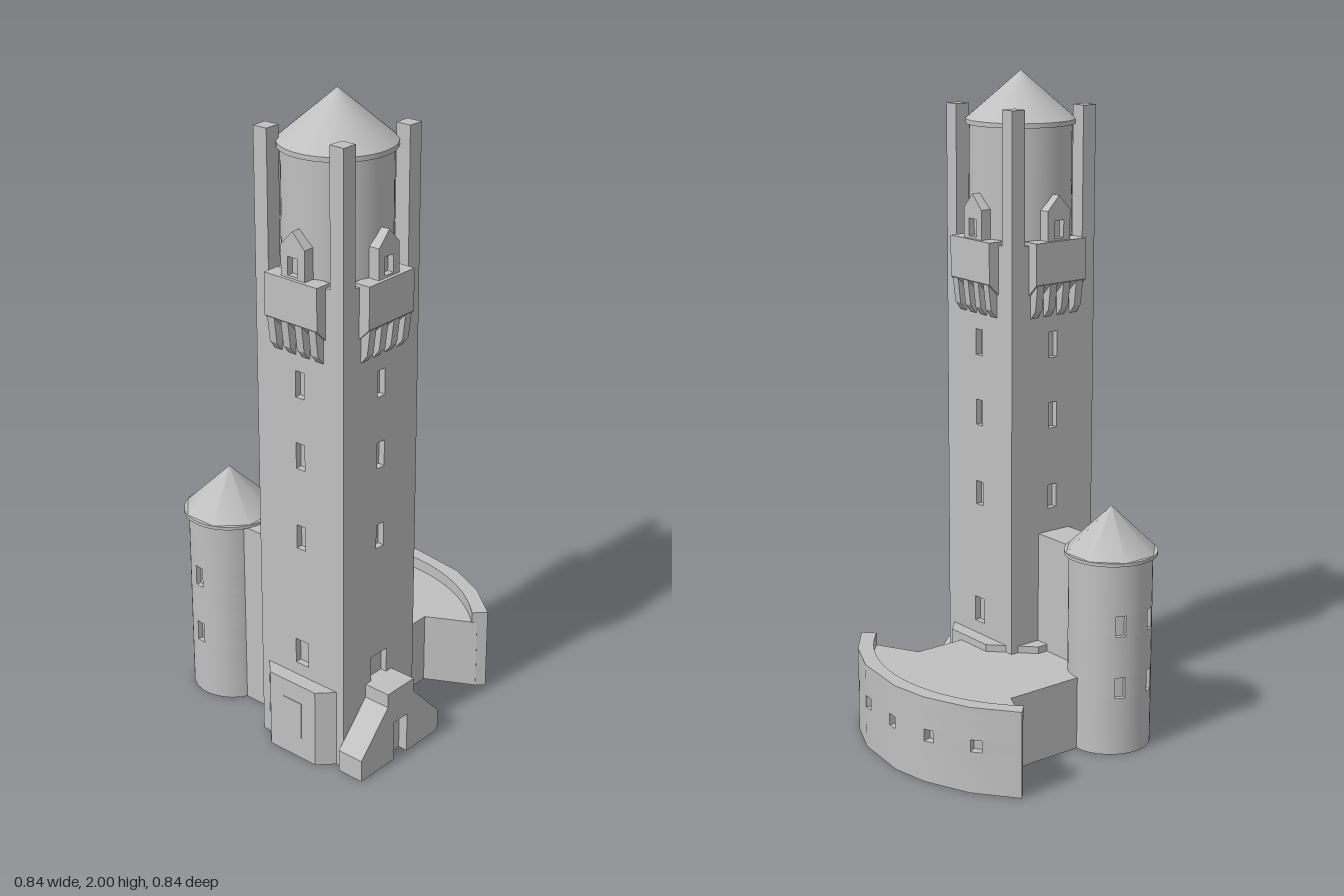
import * as THREE from 'three';
import { toCreasedNormals } from 'three/addons/utils/BufferGeometryUtils.js';

const stone = new THREE.MeshStandardMaterial({ color: 0xc0c0c0 });
stone.name = 'stone';

function add(parent, name, geometry, x = 0, y = 0, z = 0) {
  const mesh = new THREE.Mesh(geometry, stone);
  mesh.name = name;
  mesh.position.set(x, y, z);
  parent.add(mesh);
  return mesh;
}

function box(parent, name, x0, x1, y0, y1, z0, z1) {
  return add(parent, name, new THREE.BoxGeometry(x1 - x0, y1 - y0, z1 - z0),
    (x0 + x1) / 2, (y0 + y1) / 2, (z0 + z1) / 2);
}

const shapeOf = pts => new THREE.Shape(pts.map(p => new THREE.Vector2(p[0], p[1])));
const extrude = (shape, depth) => new THREE.ExtrudeGeometry(shape, { depth, bevelEnabled: false });

// Plan outline (x, -z) raised from y0 to y1
function raise(pts, y0, y1) {
  return extrude(shapeOf(pts), y1 - y0).rotateX(-Math.PI / 2).translate(0, y0, 0);
}

// Elevation panel with rectangular holes [y0, y1, width]
function panel(outline, holes, depth) {
  const shape = shapeOf(outline);
  for (const [y0, y1, w] of holes) {
    shape.holes.push(new THREE.Path([[-w / 2, y0], [-w / 2, y1], [w / 2, y1], [w / 2, y0]]
      .map(p => new THREE.Vector2(...p))));
  }
  return extrude(shape, depth);
}

const rect = (w, y0, y1) => [[-w / 2, y0], [w / 2, y0], [w / 2, y1], [-w / 2, y1]];
const polar = (deg, r) => [r * Math.cos(deg * Math.PI / 180), r * Math.sin(deg * Math.PI / 180)];

// Point on a faceted wall whose corners lie at the given angles
function facet(corners, R, a) {
  let i = 0;
  while (i < corners.length - 2 && a > corners[i + 1]) i++;
  const rad = Math.PI / 180, mid = (corners[i] + corners[i + 1]) / 2;
  return polar(a, R * Math.cos((corners[i + 1] - corners[i]) / 2 * rad) / Math.cos((a - mid) * rad));
}

// Curved wall piece between two angles
function arcWall(parent, name, corners, R, r0, a0, a1, y0, y1) {
  const angles = [a0, ...corners.filter(a => a > a0 + 0.01 && a < a1 - 0.01), a1];
  const pts = angles.map(a => facet(corners, R, a));
  const n = 32;
  for (let i = n; i >= 0; i--) pts.push(polar(a0 + (a1 - a0) * i / n, r0));
  return add(parent, name, toCreasedNormals(raise(pts, y0, y1), 0.5));
}

// Curved wall with rows of recessed windows
function windowedWall(parent, name, corners, R, r0, windows, halfAngle, rows, top) {
  const start = corners[0], end = corners[corners.length - 1];
  let y = 0;
  for (const [y0, y1] of rows) {
    arcWall(parent, name, corners, R, r0, start, end, y, y0);
    let a = start;
    for (const w of windows) {
      arcWall(parent, name, corners, R, r0, a, w - halfAngle, y0, y1);
      a = w + halfAngle;
    }
    arcWall(parent, name, corners, R, r0, a, end, y0, y1);
    y = y1;
  }
  arcWall(parent, name, corners, R, r0, start, end, y, top);
}

// One face of the tower, facing +z around the tower's axis
function towerSide(k) {
  const side = new THREE.Group();
  side.name = 'towerSide';
  const low = k === 0 ? [0.24, 0.32, 0.07] : [0.29, 0.37, 0.048];
  const holes = [[0.675, 0.75, 0.032], [0.93, 1.01, 0.032], [1.15, 1.23, 0.032]];
  if (k !== 2) holes.push(low);
  add(side, 'wall', panel(rect(0.318, 0, 1.5), holes, 0.02), 0, 0, 0.139);

  // Balcony with sloping underside and four brackets
  const sideProfile = (pts, w) => extrude(shapeOf(pts), w).rotateY(-Math.PI / 2).translate(w / 2, 0, 0);
  add(side, 'balcony', sideProfile([[0.14, 1.35], [0.159, 1.35], [0.194, 1.385], [0.194, 1.51], [0.14, 1.51]], 0.19));
  for (let i = 0; i < 4; i++) {
    add(side, 'bracket', sideProfile([[0.15, 1.28], [0.162, 1.28], [0.182, 1.305], [0.192, 1.385], [0.15, 1.385]], 0.026),
      -0.075 + i * 0.05);
  }

  // Gabled dormer
  const gable = [[-0.043, 1.5], [0.043, 1.5], [0.043, 1.6], [0, 1.645], [-0.043, 1.6]];
  add(side, 'dormerFront', panel(gable, [[1.517, 1.57, 0.036]], 0.02), 0, 0, 0.163);
  add(side, 'dormer', extrude(shapeOf(gable), 0.063), 0, 0, 0.1);

  // Splayed buttress on every side but the entrance
  if (k !== 0) {
    add(side, 'buttress', raise([[-0.135, -0.157], [-0.088, -0.204], [0.088, -0.204], [0.135, -0.157],
      [0.135, -0.14], [-0.135, -0.14]], 0, 0.25));
    if (k === 3) box(side, 'buttressPanel', -0.035, 0.035, 0.07, 0.19, 0.2, 0.206);
  }
  side.rotation.y = k * Math.PI / 2;
  return side;
}

function buildTower() {
  const tower = new THREE.Group();
  tower.name = 'tower';
  box(tower, 'core', -0.139, 0.139, 0, 1.5, -0.139, 0.139);
  for (let k = 0; k < 4; k++) tower.add(towerSide(k));
  for (const sx of [-1, 1]) for (const sz of [-1, 1]) {
    add(tower, 'cornerPost', new THREE.BoxGeometry(0.048, 0.4, 0.048), sx * 0.135, 1.7, sz * 0.135);
  }
  add(tower, 'drum', new THREE.CylinderGeometry(0.155, 0.155, 0.35, 48), 0, 1.675, 0);
  add(tower, 'eaves', new THREE.CylinderGeometry(0.166, 0.166, 0.014, 48), 0, 1.85, 0);
  add(tower, 'roof', new THREE.ConeGeometry(0.166, 0.143, 48), 0, 1.9285, 0);

  // Stepped entrance porch with a recessed doorway
  const porch = [[-0.178, 0], [-0.03, 0], [-0.03, 0.13], [0.03, 0.13], [0.03, 0], [0.178, 0], [0.178, 0.07],
    [0.059, 0.196], [0.059, 0.24], [-0.059, 0.24], [-0.059, 0.196], [-0.178, 0.07]];
  add(tower, 'porch', extrude(shapeOf(porch), 0.087), 0, 0, 0.158);
  box(tower, 'door', -0.03, 0.03, 0, 0.13, 0.158, 0.215);
  tower.position.set(-0.218, 0, 0.175);
  return tower;
}

function buildBastion() {
  const bastion = new THREE.Group();
  bastion.name = 'bastion';
  const corners = [-45.8, -31.7, -17.6, 2, 14.4, 30, 45.8];
  const R = 0.562;
  // Floor and neck, relative to the centre of the curve
  const floor = [[-0.08, -0.233], [0.293, -0.233]];
  for (let i = 0; i <= 24; i++) floor.push(polar(-45.8 + 91.6 * i / 24, 0.535));
  floor.push([0.298, 0.234], [-0.08, 0.233]);
  add(bastion, 'floor', raise(floor, 0, 0.228));
  windowedWall(bastion, 'curvedWall', corners, R, 0.53, [-32, -16, 0, 16, 32], 1.7, [[0.128, 0.165]], 0.228);
  arcWall(bastion, 'parapet', corners, R, 0.513, -45.8, 45.8, 0.228, 0.265);
  bastion.position.set(-0.141, 0, -0.02);
  return bastion;
}

function buildTurret() {
  const turret = new THREE.Group();
  turret.name = 'turret';
  const corners = Array.from({ length: 49 }, (_, i) => i * 7.5);
  windowedWall(turret, 'turretWall', corners, 0.127, 0.108, [64, 118, 172], 7, [[0.18, 0.245], [0.375, 0.44]], 0.6);
  add(turret, 'turretCore', new THREE.CylinderGeometry(0.112, 0.112, 0.6, 32), 0, 0.3, 0);
  add(turret, 'turretEaves', new THREE.CylinderGeometry(0.141, 0.141, 0.01, 48), 0, 0.604, 0);
  const roof = new THREE.ConeGeometry(0.141, 0.138, 8).rotateY(Math.PI / 8);
  add(turret, 'turretRoof', roof, 0, 0.677, 0);
  turret.position.set(-0.225, 0, -0.253);
  return turret;
}

export function createModel() {
  const model = new THREE.Group();
  model.name = 'castleTower';
  model.add(buildTower(), buildBastion(), buildTurret());
  // Passage joining the turret to the tower
  box(model, 'passage', -0.285, -0.165, 0, 0.6, -0.2, 0.03);
  return model;
}
